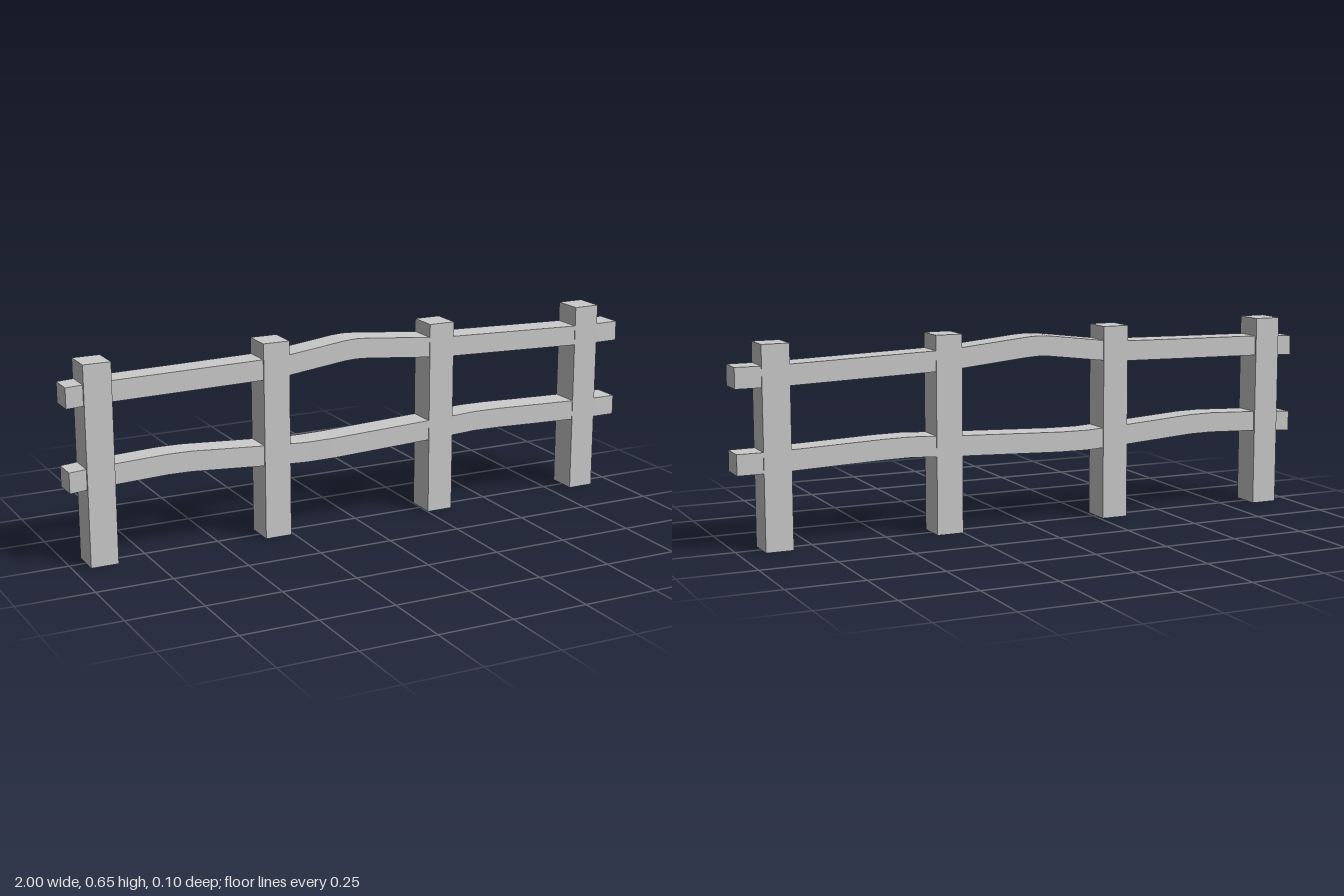
import * as THREE from 'three';

const material = new THREE.MeshStandardMaterial({ color: 0xcccccc, flatShading: true });

// Square beam bent through stations of [x, centre height, half depth]
function createRail(name, stations) {
  const n = stations.length - 1;
  const box = new THREE.BoxGeometry(n, 0.067, 1, n, 1, 1);
  const pos = box.attributes.position;
  for (let i = 0; i < pos.count; i++) {
    const [x, y, half] = stations[Math.round(pos.getX(i) + n / 2)];
    pos.setXYZ(i, x, y + pos.getY(i), Math.sign(pos.getZ(i)) * half);
  }
  const geometry = box.toNonIndexed();
  geometry.computeVertexNormals();
  const rail = new THREE.Mesh(geometry, material);
  rail.name = name;
  return rail;
}

export function createModel() {
  const fence = new THREE.Group();
  fence.name = 'fence';

  // Upright posts
  const postGeometry = new THREE.BoxGeometry(0.09, 0.65, 0.102);
  [-0.9, -0.305, 0.297, 0.871].forEach((x, i) => {
    const post = new THREE.Mesh(postGeometry, material);
    post.name = `post${i + 1}`;
    post.position.set(x, 0.325, 0);
    fence.add(post);
  });

  // Upper rail, arched in the middle bay
  fence.add(createRail('upperRail', [
    [-1, 0.55, 0.043], [-0.9, 0.555, 0.044], [-0.58, 0.56, 0.045], [-0.3, 0.565, 0.047],
    [-0.06, 0.595, 0.048], [-0.02, 0.597, 0.048], [0.02, 0.595, 0.048],
    [0.3, 0.568, 0.049], [0.87, 0.55, 0.049], [1, 0.55, 0.0455],
  ]));

  // Lower rail, wavy and sagging left of the middle
  fence.add(createRail('lowerRail', [
    [-1, 0.282, 0.043], [-0.9, 0.289, 0.044], [-0.68, 0.298, 0.045], [-0.6, 0.297, 0.045],
    [-0.3, 0.277, 0.047], [-0.2, 0.272, 0.047], [-0.1, 0.273, 0.048], [0.25, 0.287, 0.049],
    [0.43, 0.296, 0.049], [0.52, 0.295, 0.049], [0.87, 0.283, 0.049], [1, 0.282, 0.0455],
  ]));
  return fence;
}
